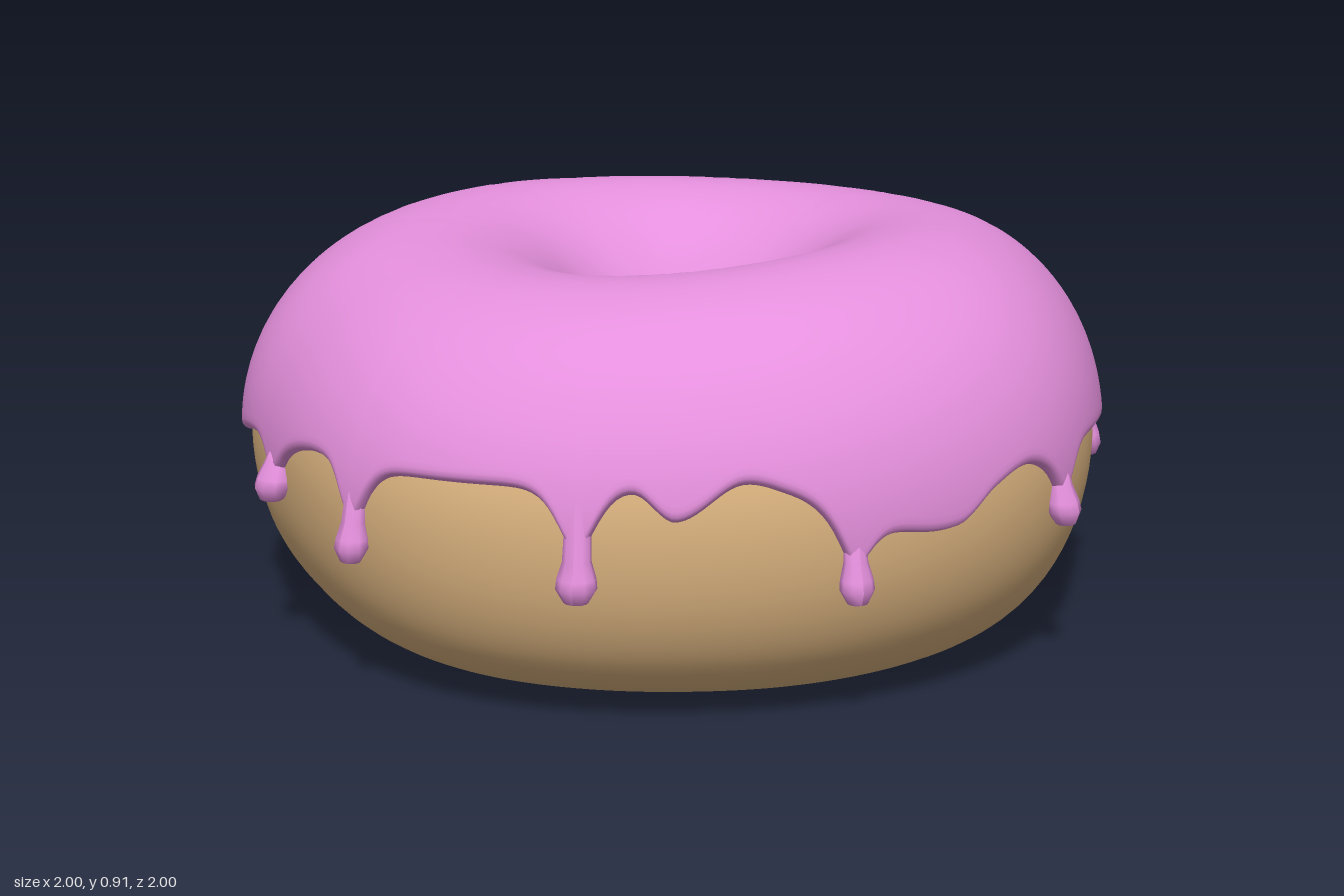
import * as THREE from 'three';

const RAD = Math.PI / 180, T = 0.022;

// smooth closed curve through [degrees, value] knots
function loopCurve(knots) {
  const n = knots.length;
  const at = i => {
    const turn = Math.floor(i / n), k = knots[i - turn * n];
    return [k[0] + 360 * turn, k[1]];
  };
  return deg => {
    deg = ((deg % 360) + 360) % 360;
    let i = -1;
    while (at(i + 1)[0] <= deg) i++;
    const [p, q, r, s] = [at(i - 1), at(i), at(i + 1), at(i + 2)];
    const h = r[0] - q[0], t = (deg - q[0]) / h;
    const m0 = h * (r[1] - p[1]) / (r[0] - p[0]), m1 = h * (s[1] - q[1]) / (s[0] - q[0]);
    const t2 = t * t, t3 = t2 * t;
    return (2 * t3 - 3 * t2 + 1) * q[1] + (t3 - 2 * t2 + t) * m0 + (3 * t2 - 2 * t3) * r[1] + (t3 - t2) * m1;
  };
}

// uneven outline, hole and icing hem, by angle from +x towards +z
const outerR = loopCurve([[0, .953], [30, .938], [53, .93], [90, .96], [122, .945], [142, .972], [180, .975],
  [197, .965], [214, .932], [245, .94], [270, .963], [304, .965], [330, .938]]);
const holeR = loopCurve([[0, .13], [45, .112], [90, .105], [140, .138], [180, .197], [220, .218], [262, .193], [310, .18]]);
// roundness of the outer side, below and above (smaller is fuller)
const lowerFullness = loopCurve([[0, .82], [45, .74], [90, .64], [135, .68], [180, .72], [225, .74], [270, .68], [315, .74]]);
const upperFullness = loopCurve([[0, .99], [90, 1], [180, 1], [215, 1.08], [260, 1.03], [310, 1.06]]);
const hemY = loopCurve([[0, .5], [6, .51], [12, .48], [18, .42], [28, .44], [41, .53], [47, .55], [55, .48], [60, .54],
  [65, .55], [75, .54], [90, .53], [108, .52], [116, .5], [128, .48], [135, .46], [143, .43], [152, .48], [162, .5],
  [175, .43], [185, .47], [203, .5], [208, .47], [218, .48], [226, .44], [236, .47], [255, .5], [266, .47], [274, .5],
  [290, .51], [298, .54], [306, .5], [319, .52], [325, .48], [329, .47], [339, .49], [348, .5]]);

// drips: angle, lowest y, bulb radius
const DRIPS = [[32.4, .29, .037], [67, .31, .043], [98.8, .32, .04], [121, .36, .05], [155.4, .285, .032],
  [194.8, .31, .035], [213, .375, .036], [245.3, .265, .038], [279.5, .205, .038], [314.6, .305, .04], [356.7, .345, .042]];

// cross-section of the ring at one angle
function section(deg) {
  const lean = Math.cos((deg + 35) * RAD);
  const top = .87 + .012 * lean + .014 * Math.cos(2 * deg * RAD), bottom = .014 - .012 * lean;
  const o = outerR(deg), i = holeR(deg);
  return {
    R: (o + i) / 2, a: (o - i) / 2, c: (top + bottom) / 2, b: (top - bottom) / 2,
    lower: lowerFullness(deg), upper: upperFullness(deg),
  };
}

// [radius, height] on a section: rounded above, fuller outside and funnelled inside below
function sectionPoint(s, phi, off) {
  const c = Math.cos(phi), y = Math.sin(phi);
  const power = c > 0 ? (y > 0 ? s.upper : s.lower) : (y > 0 ? 1 : 1.45);
  return [s.R + (s.a + off) * Math.sign(c) * Math.abs(c) ** power, s.c + (s.b + off) * y];
}

function phiAt(s, y) {
  return Math.asin(THREE.MathUtils.clamp((y - s.c) / s.b, -1, 1));
}

// ring surface; row(deg, v, section) gives the section angle and the offset from the dough
function ringSurface(segs, rows, closed, row) {
  const pos = [], idx = [], count = closed ? rows : rows + 1;
  for (let i = 0; i < segs; i++) {
    const deg = 360 * i / segs, s = section(deg);
    for (let j = 0; j < count; j++) {
      const { phi, off } = row(deg, j / rows, s);
      const [r, y] = sectionPoint(s, phi, off);
      pos.push(r * Math.cos(deg * RAD), y, r * Math.sin(deg * RAD));
    }
    for (let j = 0; j < rows; j++) {
      const n = ((i + 1) % segs) * count, m = i * count, k = (j + 1) % count;
      idx.push(m + j, m + k, n + j, m + k, n + k, n + j);
    }
  }
  const g = new THREE.BufferGeometry();
  g.setAttribute('position', new THREE.Float32BufferAttribute(pos, 3));
  g.setIndex(idx);
  g.computeVertexNormals();
  return g;
}

// hem height, drawn down to a neck above each drip
function icingHem(deg) {
  let y = hemY(deg);
  const base = y;
  for (const [a, low, rad] of DRIPS) {
    const d = Math.abs(((deg - a + 540) % 360) - 180);
    y = Math.min(y, base - (base - low) * .6 * Math.exp(-Math.pow(d / (rad * 76), 1.5)));
  }
  return y;
}

// drop that hangs almost straight down from the hem
function dripGeometry(deg, low, rad) {
  const top = Math.max(hemY(deg), low + .13);
  const pts = [[.001, 0], [rad * .6, .006], [rad, .034], [rad * .95, .055], [rad * .7, .09]]
    .map(([r, y]) => new THREE.Vector2(r, low + y));
  pts.push(new THREE.Vector2(rad * .6, Math.max(top - .03, low + .11)), new THREE.Vector2(.001, top));
  const g = new THREE.LatheGeometry(pts, 10);
  const p = g.attributes.position, s = section(deg);
  for (let i = 0; i < p.count; i++) {
    const y = p.getY(i), t = (y - low) / (top - low);
    const [side] = sectionPoint(s, phiAt(s, s.c + (y - s.c) * .45), 0);
    p.setZ(i, p.getZ(i) * .85 + side + .024 - .032 * t);
  }
  g.rotateY(Math.PI / 2 - deg * RAD);
  g.computeVertexNormals();
  return g;
}

export function createModel() {
  const group = new THREE.Group();
  const doughMat = new THREE.MeshStandardMaterial({ color: 0xdcb480 });
  const icingMat = new THREE.MeshStandardMaterial({ color: 0xe590dd });
  const add = (name, geometry, material) => {
    const mesh = new THREE.Mesh(geometry, material);
    mesh.name = name;
    group.add(mesh);
  };

  add('dough', ringSurface(120, 80, true, (deg, v) => ({ phi: v * 2 * Math.PI, off: 0 })), doughMat);

  // icing runs from the wavy hem over the top and into the hole, with rounded edges
  add('icing', ringSurface(480, 44, false, (deg, v, s) => {
    const start = phiAt(s, icingHem(deg)), end = Math.PI + .12;
    const phi = start + (end - start) * (v < .5 ? 2 * v * v : 1 - 2 * (1 - v) ** 2);
    const t = Math.min(1, Math.min(phi - start, end - phi) * .44 / T);
    return { phi, off: -.004 + (T + .004) * Math.sqrt(1 - (1 - t) ** 2) };
  }), icingMat);

  for (const [deg, low, rad] of DRIPS) add('icingDrip', dripGeometry(deg, low, rad), icingMat);
  return group;
}
